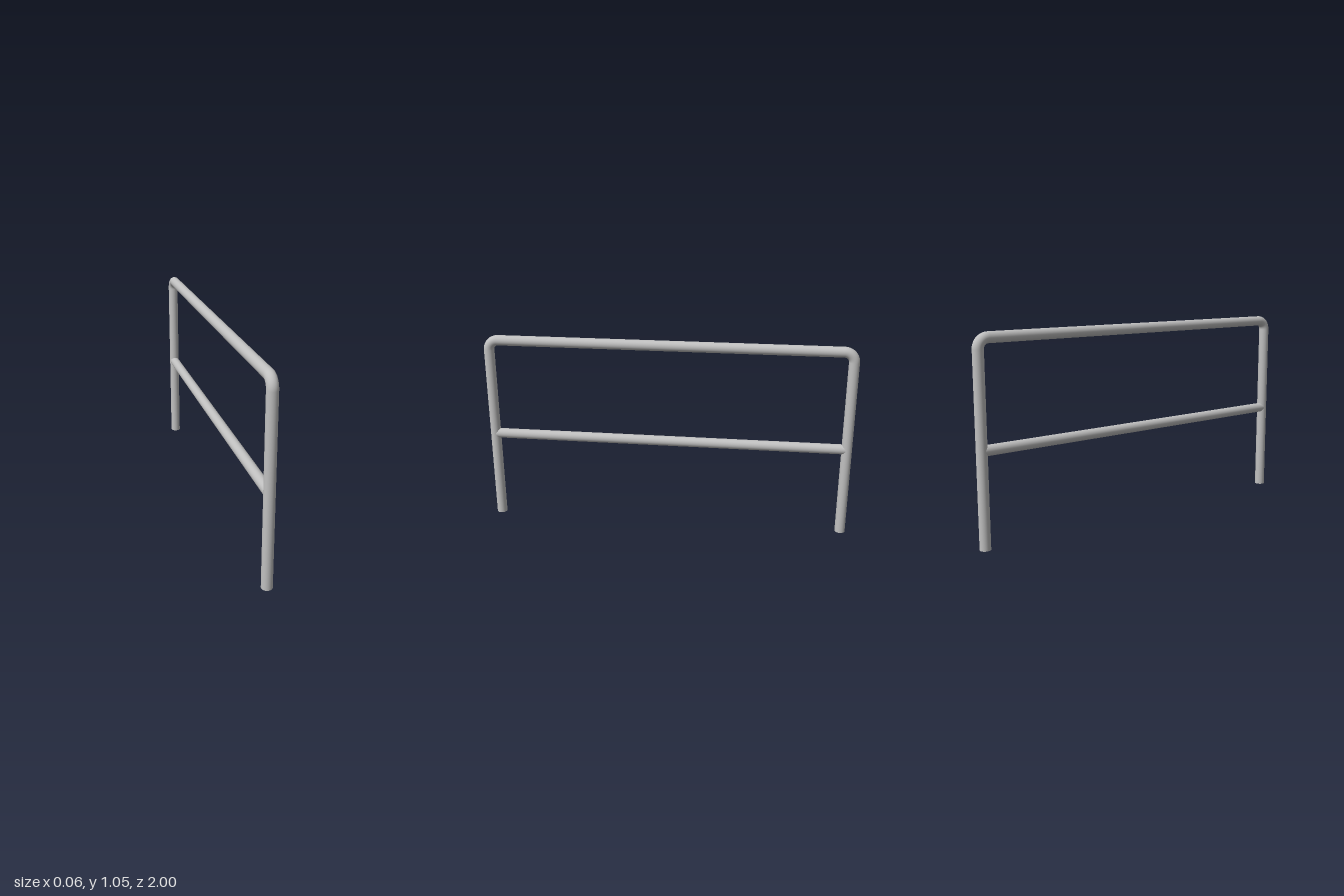
import * as THREE from 'three';

export function createModel() {
  const model = new THREE.Group();
  const steel = new THREE.MeshStandardMaterial({ color: 0xc0c0c0, side: THREE.DoubleSide });
  steel.name = 'greySteel';

  const R = 0.028, BEND = 0.053, SIDES = 32;
  const legZ = 1 - R, topY = 1.055 - R, midY = 0.49;

  const add = (name, geometry, y, z) => {
    const mesh = new THREE.Mesh(geometry, steel);
    mesh.name = name;
    mesh.position.set(0, y, z);
    model.add(mesh);
    return mesh;
  };
  // open-ended straight pipe
  const pipe = (length, radius = R) => new THREE.CylinderGeometry(radius, radius, length, SIDES, 1, true);

  // legs and the quarter bends above them
  for (const [side, s] of [['front', 1], ['back', -1]]) {
    const legHeight = topY - BEND;
    add(side + 'Leg', pipe(legHeight), legHeight / 2, s * legZ);
    const bend = new THREE.TorusGeometry(BEND, R, SIDES, 16, Math.PI / 2).rotateY(-s * Math.PI / 2);
    add(side + 'Bend', bend, legHeight, s * (legZ - BEND));
  }

  // horizontal rails
  add('topRail', pipe(2 * (legZ - BEND)).rotateX(Math.PI / 2), topY, 0);
  add('middleRail', pipe(2 * legZ, 0.027).rotateX(Math.PI / 2), midY, 0);

  return model;
}
